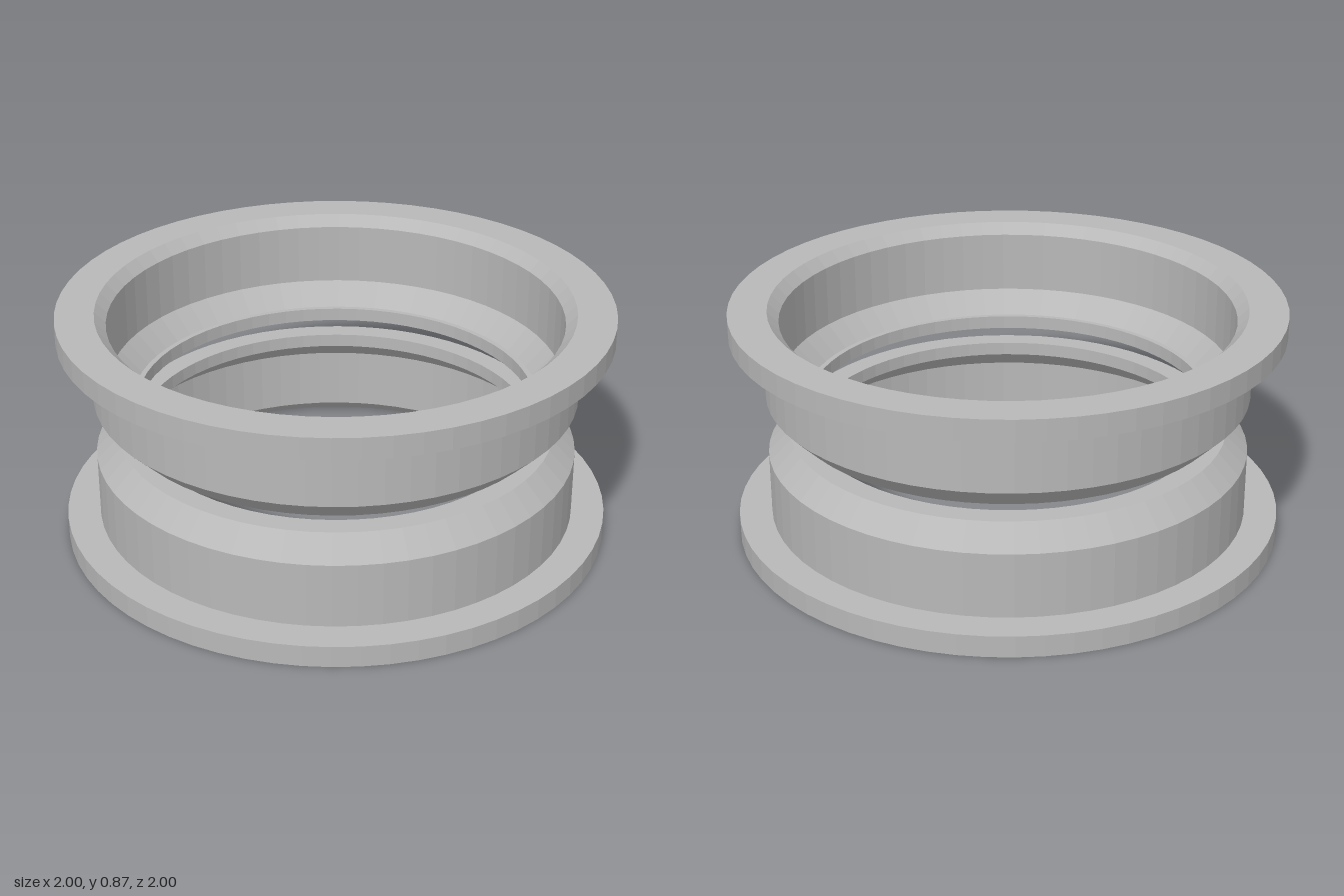
import * as THREE from 'three';

const HEIGHT = 0.865;
const SEGMENTS = 64;

// Cross-section of one flanged ring as [radius, height], counter-clockwise
const PROFILE = [
  [0.86, 0], [1, 0], [1, 0.08],                   // flange
  [0.88, 0.08], [0.88, 0.32], [0.8, 0.4],         // outer wall and bevel
  [0.72, 0.4], [0.72, 0.35], [0.74, 0.35],        // inner lip
  [0.82, 0.27], [0.82, 0.04], [0.86, 0],          // inner wall and entry bevel
];

function makeRing(name, profile, material) {
  const points = profile.map(([r, y]) => new THREE.Vector2(r, y));
  const ring = new THREE.Mesh(new THREE.LatheGeometry(points, SEGMENTS), material);
  ring.name = name;
  return ring;
}

export function createModel() {
  const metal = new THREE.MeshStandardMaterial({ color: 0xb8b8b8, flatShading: true });
  metal.name = 'grey metal';

  const model = new THREE.Group();
  model.name = 'flangedRingPair';

  // The upper ring mirrors the lower one; reversing keeps the faces outward
  const mirrored = PROFILE.map(([r, y]) => [r, HEIGHT - y]).reverse();
  model.add(makeRing('lowerRing', PROFILE, metal));
  model.add(makeRing('upperRing', mirrored, metal));
  return model;
}
